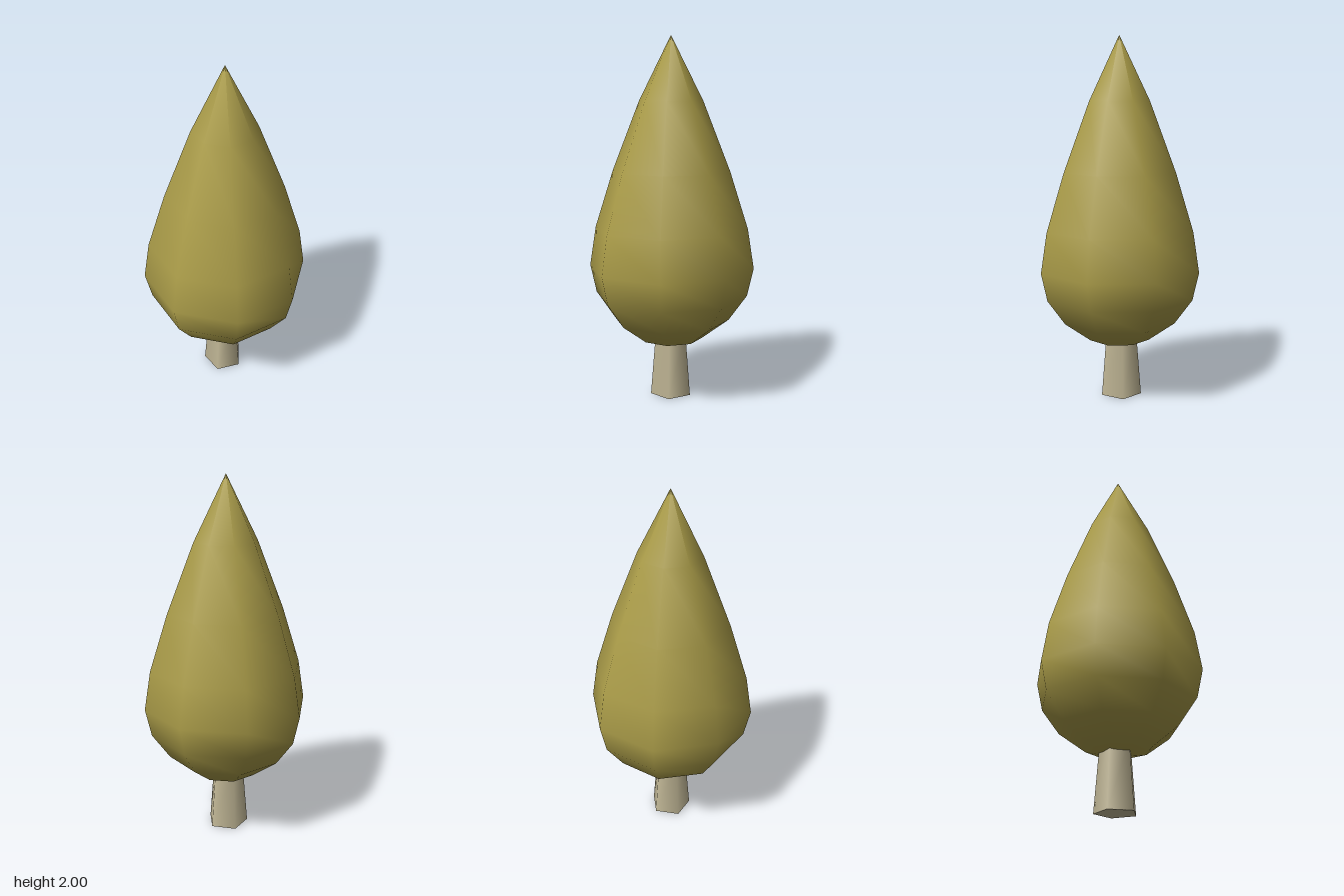
import * as THREE from 'three';

export function createModel() {
  const tree = new THREE.Group();
  tree.name = 'tree';

  const leafMaterial = new THREE.MeshStandardMaterial({ color: 0xa99b48 });
  leafMaterial.name = 'olive leaves';
  const barkMaterial = new THREE.MeshStandardMaterial({ color: 0xc1b796 });
  barkMaterial.name = 'pale bark';

  // Crown: teardrop with eight smooth-shaded sides, corners on the axes
  const profile = [
    [0, 0.29], [0.176, 0.33], [0.325, 0.44], [0.425, 0.58], [0.46, 0.735],
    [0.425, 0.955], [0.325, 1.27], [0.176, 1.65], [0, 2],
  ].map(([r, y]) => new THREE.Vector2(r, y));
  const crown = new THREE.Mesh(new THREE.LatheGeometry(profile, 8), leafMaterial);
  crown.name = 'crown';
  tree.add(crown);

  // Trunk: tapered pentagon with one corner towards +x, its top inside the crown
  const height = 0.36;
  const trunkGeometry = new THREE.CylinderGeometry(0.088, 0.117, height, 5, 1, false, Math.PI / 2);
  const trunk = new THREE.Mesh(trunkGeometry, barkMaterial);
  trunk.name = 'trunk';
  trunk.position.set(-0.01, height / 2, 0);
  tree.add(trunk);

  return tree;
}
